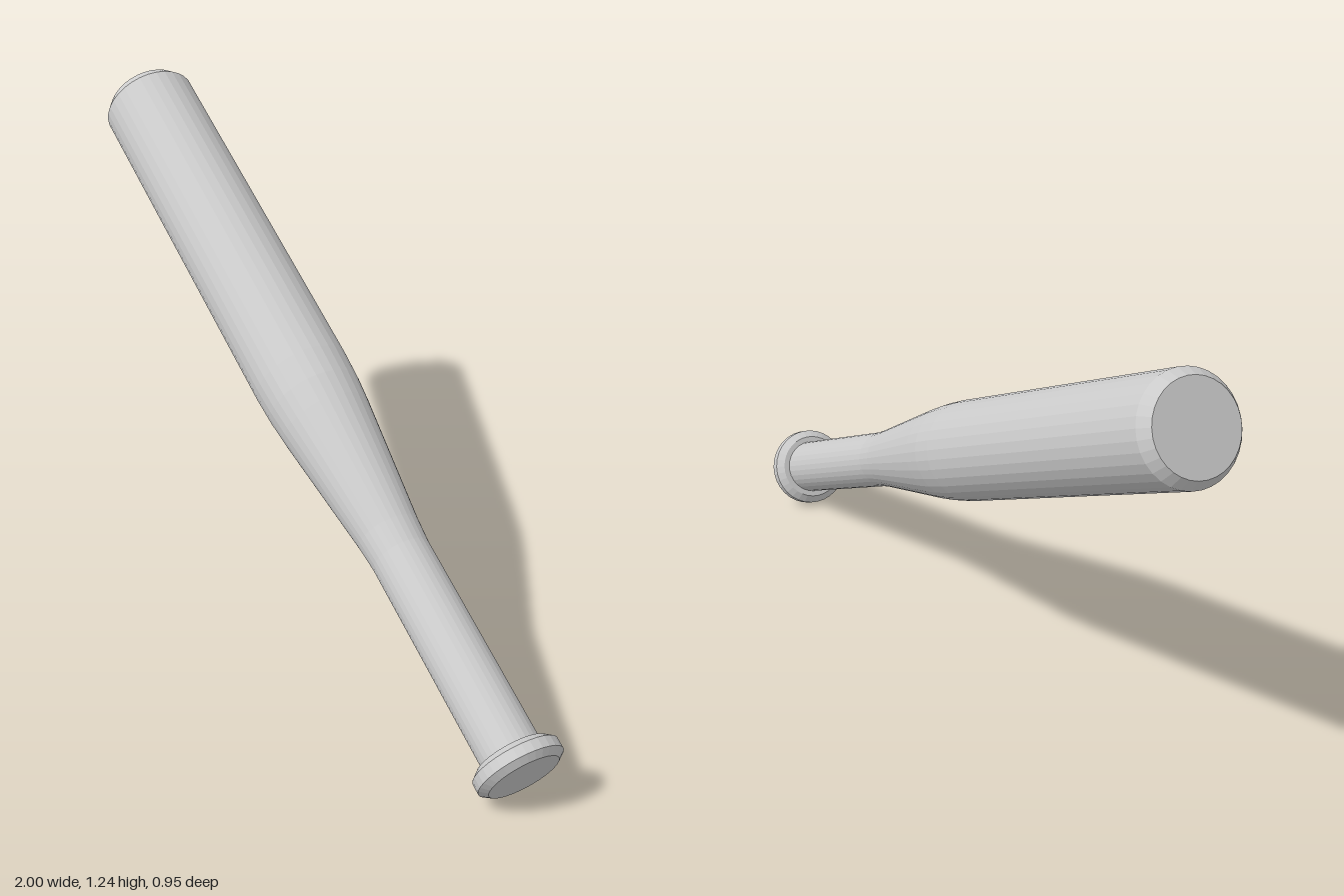
import * as THREE from 'three';

const SIDES = 32;

// Turned solid from [radius, height] pairs, listed from bottom to top
function turned(name, profile, material) {
  const points = profile.map(([r, y]) => new THREE.Vector2(r, y));
  const mesh = new THREE.Mesh(new THREE.LatheGeometry(points, SIDES), material);
  mesh.name = name;
  return mesh;
}

export function createModel() {
  const group = new THREE.Group();
  group.name = 'bat';
  const material = new THREE.MeshStandardMaterial({ color: 0xcccccc, flatShading: true });

  // Bevelled knob at the grip end
  const knob = turned('knob', [
    [0, -0.015], [0.094, -0.015], [0.114, 0], [0.114, 0.028], [0.094, 0.045], [0, 0.045],
  ], material);

  // Straight grip, eased taper and straight barrel with a chamfered end
  const shaft = turned('handleAndBarrel', [
    [0.078, 0.03], [0.078, 0.62], [0.083, 0.69], [0.103, 0.87], [0.123, 1.05],
    [0.129, 1.12], [0.132, 1.2], [0.132, 2.232], [0.111, 2.262], [0, 2.262],
  ], material);

  // Tilt the whole bat from the low knob up to the raised barrel end
  const bat = new THREE.Group();
  bat.name = 'tiltedBat';
  bat.add(knob, shaft);
  const knobEnd = new THREE.Vector3(0.937, 0.101, 0.367);
  const barrelEnd = new THREE.Vector3(-0.918, 1.12, -0.347);
  const axis = barrelEnd.clone().sub(knobEnd).normalize();
  bat.quaternion.setFromUnitVectors(new THREE.Vector3(0, 1, 0), axis);
  bat.position.copy(knobEnd);
  group.add(bat);
  return group;
}
